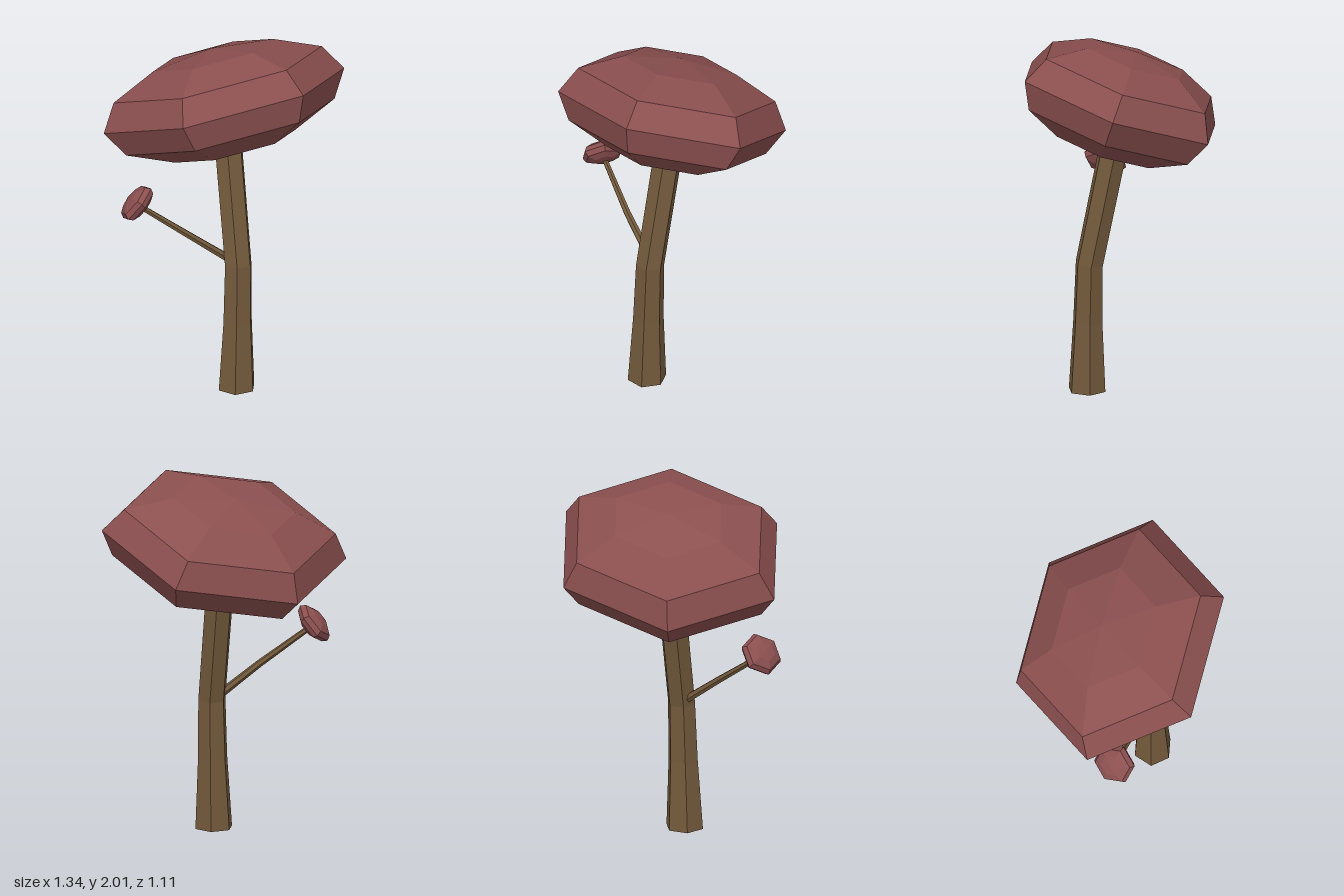
import * as THREE from 'three';

const SIDES = 6;
const V = (x, y, z) => new THREE.Vector3(x, y, z);
const bark = new THREE.MeshStandardMaterial({ color: 0x735a3c, flatShading: true });
const foliage = new THREE.MeshStandardMaterial({ color: 0x8b4f4f, flatShading: true });

// Six-sided limb swept through rings of [x, y, z, radius], mitred at the bends.
function limb(name, rings, ref, startNormal) {
  const pts = rings.map(([x, y, z]) => V(x, y, z));
  const last = pts.length - 1;
  const pos = [], idx = [];
  pts.forEach((p, i) => {
    const t = V(0, 0, 0);
    if (i > 0) t.add(p.clone().sub(pts[i - 1]).normalize());
    if (i < last) t.add(pts[i + 1].clone().sub(p).normalize());
    if (i === 0 && startNormal) t.copy(startNormal);
    t.normalize();
    const a = ref.clone().addScaledVector(t, -ref.dot(t)).normalize();
    const b = a.clone().cross(t);
    for (let j = 0; j < SIDES; j++) {
      const ang = (j / SIDES) * Math.PI * 2, r = rings[i][3];
      const q = p.clone().addScaledVector(a, r * Math.cos(ang)).addScaledVector(b, r * Math.sin(ang));
      pos.push(q.x, q.y, q.z);
    }
  });
  const bottom = pos.length / 3, top = bottom + 1;
  pos.push(...pts[0].toArray(), ...pts[last].toArray());
  for (let j = 0; j < SIDES; j++) {
    const k = (j + 1) % SIDES, e = last * SIDES;
    for (let i = 0; i < last; i++) {
      const o = i * SIDES, n = o + SIDES;
      idx.push(o + j, n + j, o + k, o + k, n + j, n + k);
    }
    idx.push(bottom, j, k, top, e + k, e + j);
  }
  const indexed = new THREE.BufferGeometry();
  indexed.setAttribute('position', new THREE.Float32BufferAttribute(pos, 3));
  indexed.setIndex(idx);
  const geo = indexed.toNonIndexed();
  geo.computeVertexNormals();
  const mesh = new THREE.Mesh(geo, bark);
  mesh.name = name;
  return mesh;
}

// Flattened faceted ball: u points at one corner, n is the short axis.
function crown(name, center, u, n, radiusU, radiusW, height) {
  const y = n.clone().normalize();
  const x = u.clone().addScaledVector(y, -u.dot(y)).normalize();
  const z = x.clone().cross(y);
  const m = new THREE.Matrix4().makeBasis(
    x.multiplyScalar(radiusU), y.multiplyScalar(height), z.multiplyScalar(radiusW));
  m.setPosition(center);
  const geo = new THREE.SphereGeometry(1, SIDES, 6).applyMatrix4(m).toNonIndexed();
  geo.computeVertexNormals();
  const mesh = new THREE.Mesh(geo, foliage);
  mesh.name = name;
  return mesh;
}

export function createModel() {
  const tree = new THREE.Group();
  tree.name = 'tree';

  // Trunk: flared foot, leaning back above the bend
  tree.add(limb('trunk', [
    [-0.012, 0, 0.18, 0.108],
    [-0.004, 0.4, 0.177, 0.086],
    [0.003, 0.735, 0.17, 0.08],
    [0.009, 1.45, 0.028, 0.082],
  ], V(1, 0, 0), V(0, 1, 0)));

  // Side branch
  tree.add(limb('branch', [
    [0, 0.735, 0.15, 0.024],
    [-0.25, 0.925, 0.1, 0.02],
    [-0.51, 1.12, 0.02, 0.016],
  ], V(0, 0, 1)));

  // Foliage
  tree.add(crown('mainCrown', V(0, 1.652, 0), V(0.67, 0.115, 0.13), V(-0.102, 1, -0.358), 0.692, 0.613, 0.3));
  tree.add(crown('branchCrown', V(-0.535, 1.147, 0.01), V(-0.7, -0.42, 0.53), V(-0.67, 0.63, -0.38), 0.122, 0.122, 0.056));

  return tree;
}
